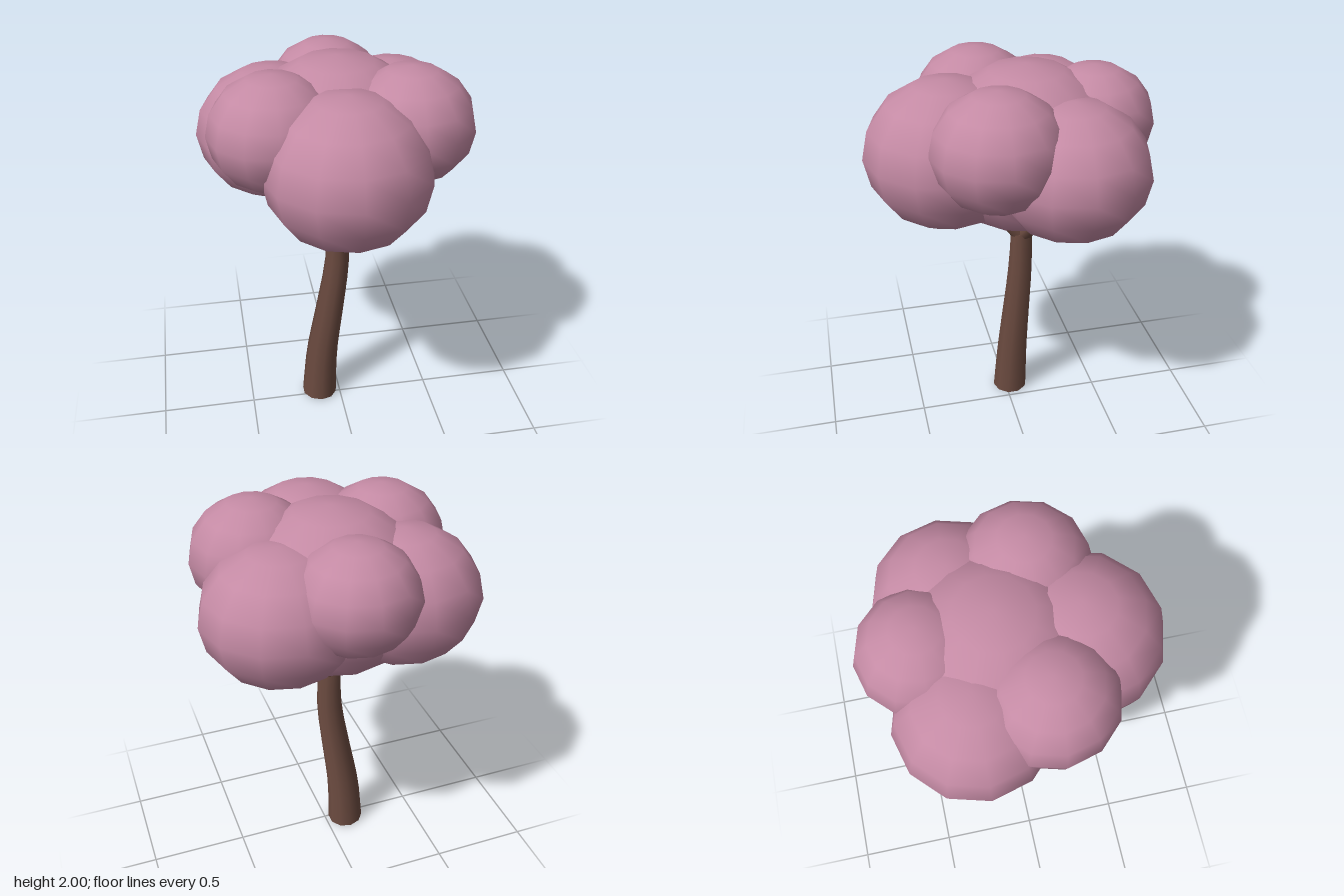
import * as THREE from 'three';

const bark = new THREE.MeshStandardMaterial({ color: 0x6d4c41 });
bark.name = 'bark brown';
const blossom = new THREE.MeshStandardMaterial({ color: 0xc48aa4 });
blossom.name = 'blossom pink';

// Capped cylinder whose rings follow a centre line and taper
function bentTrunk() {
  const height = 1.1;
  const line = new THREE.CatmullRomCurve3([
    [-0.115, 0, -0.028], [-0.095, 0.28, -0.037], [-0.047, 0.58, -0.047],
    [-0.006, 0.85, -0.057], [0, 1.0, -0.062], [-0.004, 1.1, -0.065],
  ].map((p) => new THREE.Vector3(...p)));
  const geometry = new THREE.CylinderGeometry(1, 1, height, 10, 10);
  const pos = geometry.attributes.position;
  for (let i = 0; i < pos.count; i++) {
    const t = THREE.MathUtils.clamp(pos.getY(i) / height + 0.5, 0, 1);
    const c = line.getPointAt(t);
    const r = THREE.MathUtils.lerp(0.096, 0.056, t);
    const lean = 0.05 * pos.getX(i) * r * (1 - t);
    pos.setXYZ(i, c.x + pos.getX(i) * r, c.y + 0.008 * (1 - t) - lean, c.z + pos.getZ(i) * r);
  }
  return geometry;
}

// Tapered branch between two points
function branch(from, to) {
  const dir = to.clone().sub(from);
  const mesh = new THREE.Mesh(new THREE.CylinderGeometry(0.032, 0.045, dir.length(), 8), bark);
  mesh.position.copy(from).addScaledVector(dir, 0.5);
  mesh.quaternion.setFromUnitVectors(new THREE.Vector3(0, 1, 0), dir.normalize());
  return mesh;
}

export function createModel() {
  const tree = new THREE.Group();
  tree.name = 'tree';

  const trunk = new THREE.Mesh(bentTrunk(), bark);
  trunk.name = 'trunk';
  tree.add(trunk);

  // Three forks rising into the crown
  const branches = new THREE.Group();
  branches.name = 'branches';
  const fork = new THREE.Vector3(-0.002, 1.08, -0.065);
  for (const [x, z] of [[0, 0.19], [0.16, -0.12], [-0.16, -0.12]]) {
    branches.add(branch(fork, new THREE.Vector3(x, 1.31, z - 0.065)));
  }
  tree.add(branches);

  // Crown clumps: name, centre, radii
  const crown = new THREE.Group();
  crown.name = 'crown';
  const clumps = [
    ['coreClump', [0, 1.585, -0.08], [0.48, 0.415, 0.48]],
    ['frontClump', [-0.015, 1.58, 0.3], [0.405, 0.37, 0.41]],
    ['backLeftClump', [0.295, 1.575, -0.23], [0.385, 0.335, 0.378]],
    ['backRightClump', [-0.3, 1.575, -0.235], [0.385, 0.335, 0.378]],
    ['upperLeftClump', [0.315, 1.715, 0.12], [0.315, 0.285, 0.32]],
    ['upperRightClump', [-0.33, 1.71, 0.1], [0.315, 0.282, 0.315]],
    ['upperBackClump', [0.003, 1.705, -0.415], [0.3, 0.265, 0.3]],
  ];
  const ball = new THREE.SphereGeometry(1, 12, 8);
  for (const [name, centre, radii] of clumps) {
    const clump = new THREE.Mesh(ball, blossom);
    clump.name = name;
    clump.position.set(...centre);
    clump.scale.set(...radii);
    crown.add(clump);
  }
  tree.add(crown);
  return tree;
}
